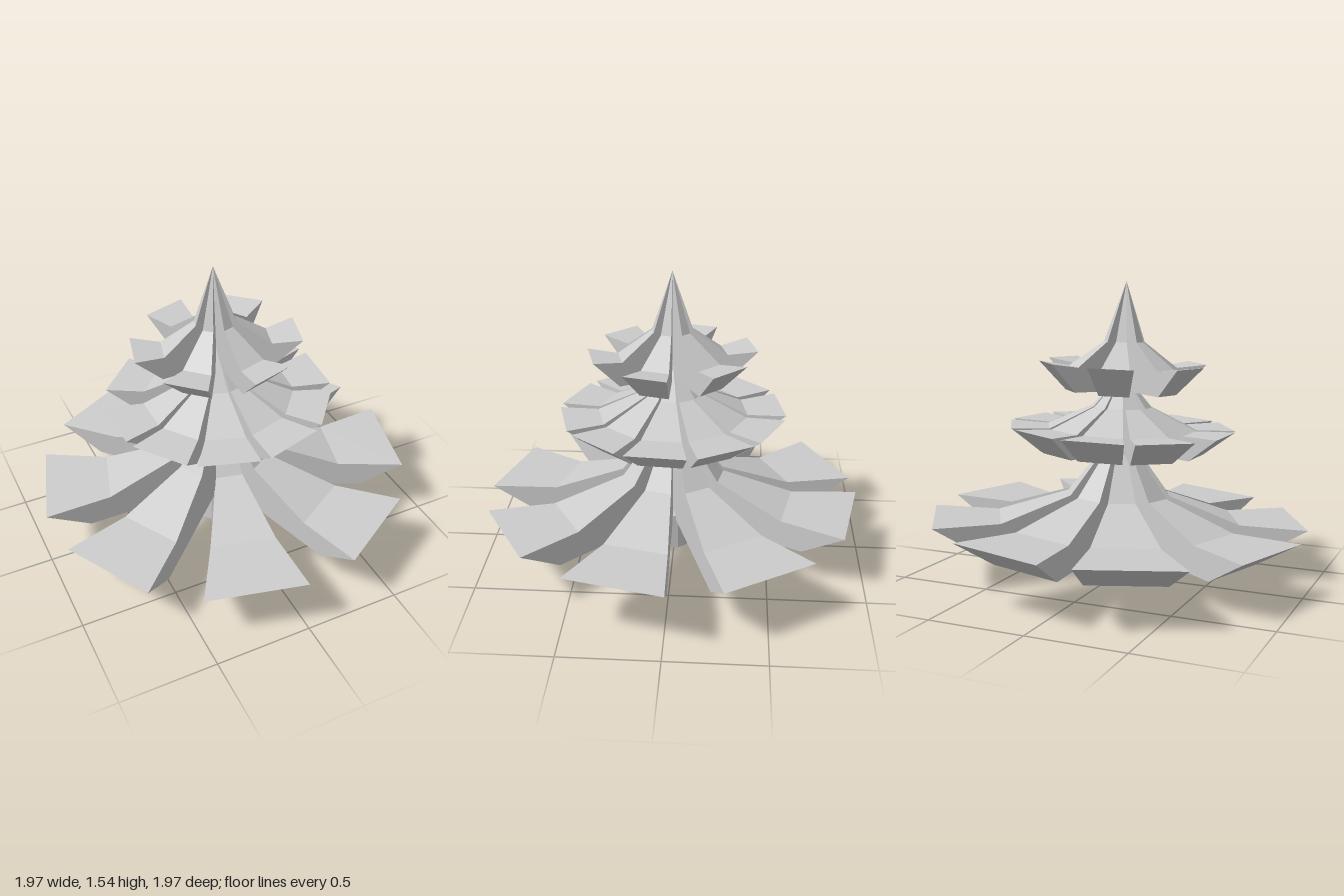
import * as THREE from 'three';

const rad = THREE.MathUtils.degToRad;
const WEDGE = rad(30);

// Each tier: a closed half-profile [radius, height] repeated around the axis
const TIERS = [
  { name: 'lowerTier', count: 8, start: -2.9, step: 45.8,
    profile: [[0, 0.175], [0.76, 0.175], [0.988, 0.316], [0.64, 0.318], [0.27, 0.445], [0.088, 0.685], [0, 0.8]] },
  { name: 'middleTier', count: 10, start: 300, step: 35,
    profile: [[0, 0.675], [0.43, 0.675], [0.59, 0.8], [0.39, 0.795], [0.155, 0.905], [0, 1.08]] },
  { name: 'upperTier', count: 6, start: 30, step: 60,
    profile: [[0, 0.985], [0.295, 0.985], [0.435, 1.13], [0.28, 1.11], [0.105, 1.24], [0, 1.545]] },
];

// Sweep a profile through 30 degrees about the vertical axis, with closed sides
function branchGeometry(profile) {
  const shape = new THREE.Shape(profile.map(([r, y]) => new THREE.Vector2(r, y)));
  const geo = new THREE.ExtrudeGeometry(shape, { depth: 1, bevelEnabled: false, steps: 1 });
  const pos = geo.attributes.position;
  for (let i = 0; i < pos.count; i++) {
    const r = pos.getX(i);
    const angle = pos.getZ(i) * WEDGE;
    pos.setXYZ(i, r * Math.cos(angle), pos.getY(i), r * Math.sin(angle));
  }
  geo.computeVertexNormals();
  return geo;
}

export function createModel() {
  const model = new THREE.Group();
  model.name = 'tree';
  const grey = new THREE.MeshStandardMaterial({ color: 0xcccccc });
  grey.name = 'pale grey';

  // Upright trunk
  const trunkGeo = new THREE.CylinderGeometry(0.095, 0.101, 0.2, 16).toNonIndexed();
  trunkGeo.computeVertexNormals();
  const trunk = new THREE.Mesh(trunkGeo, grey);
  trunk.name = 'trunk';
  trunk.position.set(-0.03, 0.1, 0.015);
  model.add(trunk);

  // Foliage leans slightly to one side
  const foliage = new THREE.Group();
  foliage.name = 'foliage';
  foliage.position.set(0.006, 0, 0.006);
  foliage.rotation.set(rad(0.3), 0, rad(2.1));
  model.add(foliage);

  for (const { name, count, start, step, profile } of TIERS) {
    const tier = new THREE.Group();
    tier.name = name;
    const geo = branchGeometry(profile);
    for (let i = 0; i < count; i++) {
      const branch = new THREE.Mesh(geo, grey);
      branch.name = 'branch';
      // start is measured clockwise from the back, seen from above
      branch.rotation.y = -rad(start + i * step - 90);
      tier.add(branch);
    }
    foliage.add(tier);
  }
  return model;
}
